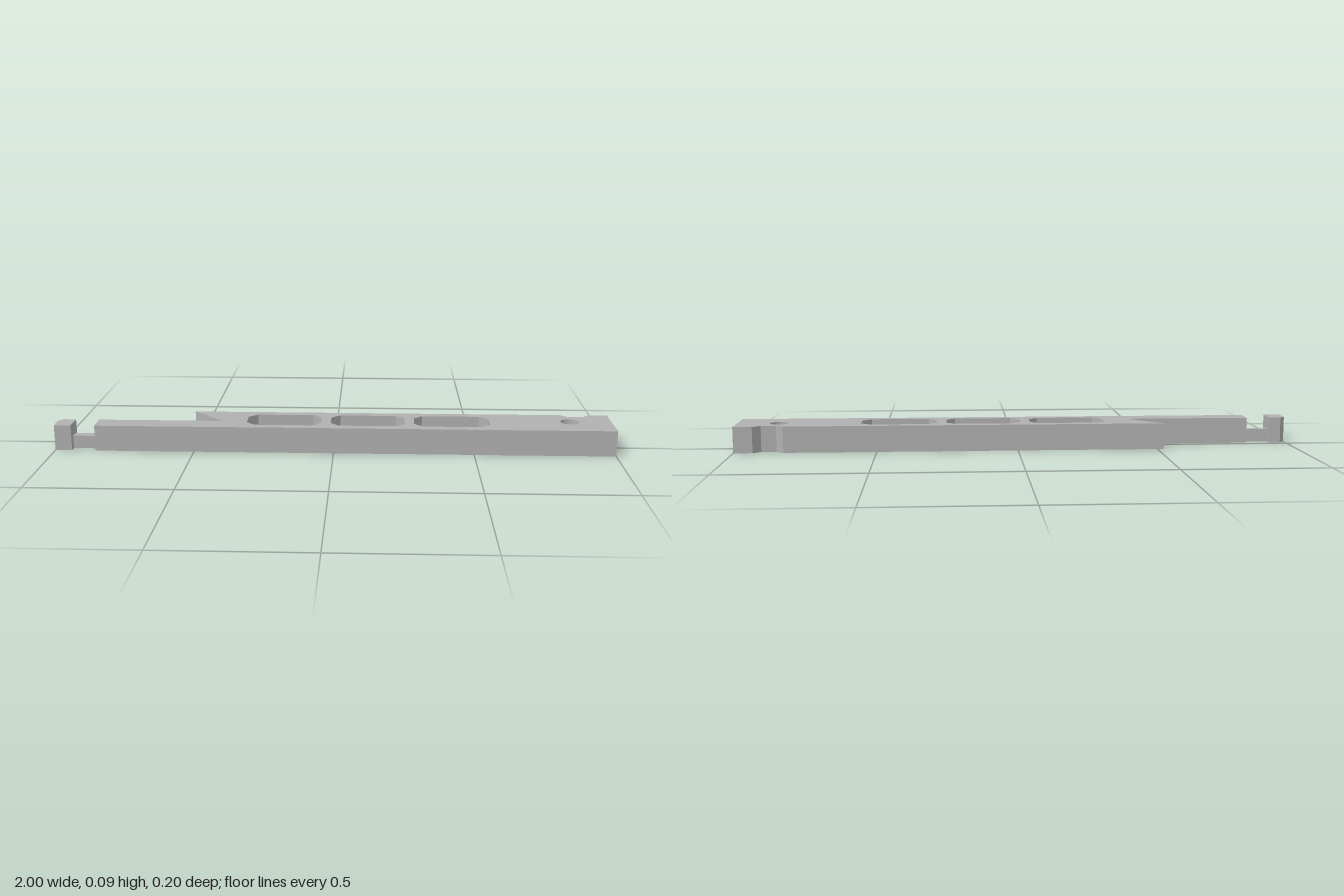
import * as THREE from 'three';
import { toCreasedNormals } from 'three/addons/utils/BufferGeometryUtils.js';

const HEIGHT = 0.093;
const toPoints = (pts) => pts.map(([x, z]) => new THREE.Vector2(x, -z));

// Stands an outline given in (x, z) up to a height above the ground
function slab(name, shape, height, material) {
  const geometry = new THREE.ExtrudeGeometry(shape, { depth: height, bevelEnabled: false, curveSegments: 32 });
  geometry.rotateX(-Math.PI / 2);
  const mesh = new THREE.Mesh(toCreasedNormals(geometry, 0.5), material);
  mesh.name = name;
  return mesh;
}

// Rectangular window with cut corners
function windowHole(x0, x1) {
  const z = 0.066, c = 0.031;
  return new THREE.Path(toPoints([
    [x0 + c, -z], [x1 - c, -z], [x1, -z + c], [x1, z - c],
    [x1 - c, z], [x0 + c, z], [x0, z - c], [x0, -z + c],
  ]));
}

export function createModel() {
  const group = new THREE.Group();
  group.name = 'slottedBar';
  const metal = new THREE.MeshStandardMaterial({ color: 0xb0b0b0 });
  metal.name = 'grey metal';

  // Main bar with the narrow arm, undercut hook and trapezoid notch
  const bar = new THREE.Shape(toPoints([
    [-0.855, 0.1], [1, 0.1], [1, -0.1], [0.933, -0.1], [0.906, -0.077],
    [0.853, -0.077], [0.826, -0.1], [-0.522, -0.1], [-0.406, 0.022], [-0.855, 0.022],
  ]));
  for (const [x0, x1] of [[-0.315, -0.047], [-0.012, 0.254], [0.288, 0.558]]) {
    bar.holes.push(windowHole(x0, x1));
  }
  const pin = new THREE.Path();
  pin.absarc(0.85, 0.013, 0.033, 0, Math.PI * 2, true);
  bar.holes.push(pin);
  group.add(slab('bar', bar, HEIGHT, metal));

  // Low, thin neck joining the arm to the end block
  const neck = new THREE.Shape(toPoints([[-0.94, 0.074], [-0.855, 0.074], [-0.855, 0.042], [-0.94, 0.042]]));
  group.add(slab('neck', neck, 0.047, metal));

  // End block with one cut corner
  const block = new THREE.Shape(toPoints([
    [-1, 0.1], [-0.94, 0.1], [-0.94, 0.022], [-0.982, 0.022], [-1, 0.04],
  ]));
  group.add(slab('endBlock', block, HEIGHT, metal));

  return group;
}
